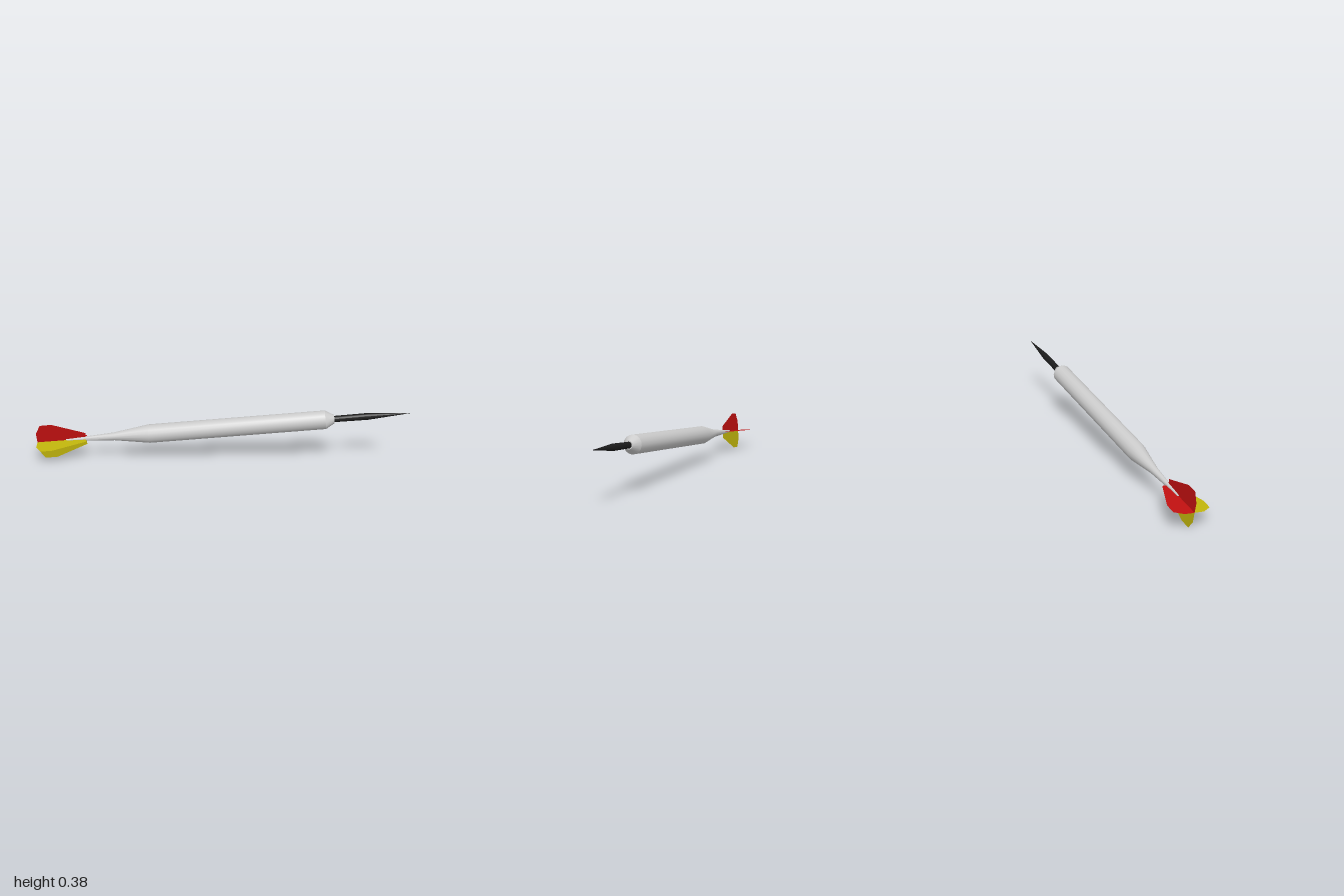
import * as THREE from 'three';
import { toCreasedNormals } from 'three/addons/utils/BufferGeometryUtils.js';

const SIDES = 16;

// Turned part around the dart's own long axis (+y, tail at 0)
function turned(name, profile, color) {
  const points = profile.map(([r, s]) => new THREE.Vector2(r, s));
  const geometry = toCreasedNormals(new THREE.LatheGeometry(points, SIDES), 0.45);
  const mesh = new THREE.Mesh(geometry, new THREE.MeshStandardMaterial({ color }));
  mesh.name = name;
  return mesh;
}

export function createModel() {
  const dart = new THREE.Group();
  dart.name = 'dart';

  // Barrel with its tapered shank and front collar
  dart.add(turned('barrel', [
    [0, 0.2], [0.007, 0.2], [0.015, 0.335], [0.027, 0.53],
    [0.063, 0.77], [0.063, 1.965], [0.028, 2.025], [0, 2.025],
  ], 0xcccccc));

  // Steel point
  dart.add(turned('point', [
    [0, 2.01], [0.021, 2.01], [0.023, 2.25], [0, 2.545],
  ], 0x1c1c1c));

  // Four thin flights: two yellow, two red
  const outline = [[0, 0], [0.067, 0], [0.127, 0.036], [0.128, 0.116], [0.043, 0.338], [0, 0.338]];
  const flightGeometry = new THREE.ShapeGeometry(
    new THREE.Shape(outline.map(([h, s]) => new THREE.Vector2(h, s))));
  const names = ['leftFlight', 'lowerFlight', 'rightFlight', 'upperFlight'];
  names.forEach((name, i) => {
    const flight = new THREE.Mesh(flightGeometry, new THREE.MeshStandardMaterial({
      color: i < 2 ? 0xc0b40c : 0xc01010, side: THREE.DoubleSide,
    }));
    flight.name = name;
    flight.rotation.y = 0.1 + i * Math.PI / 2;
    dart.add(flight);
  });

  // Lay the dart along the line from its tail to its tip
  const tail = new THREE.Vector3(-0.78, 0.128, 0.946);
  const tip = new THREE.Vector3(0.84, 0.385, -0.995);
  const along = tip.clone().sub(tail).normalize();
  const across = new THREE.Vector3().crossVectors(along, new THREE.Vector3(0, 1, 0)).normalize();
  const up = new THREE.Vector3().crossVectors(across, along);
  dart.quaternion.setFromRotationMatrix(new THREE.Matrix4().makeBasis(across, along, up));
  dart.position.copy(tail);

  const model = new THREE.Group();
  model.add(dart);
  return model;
}
